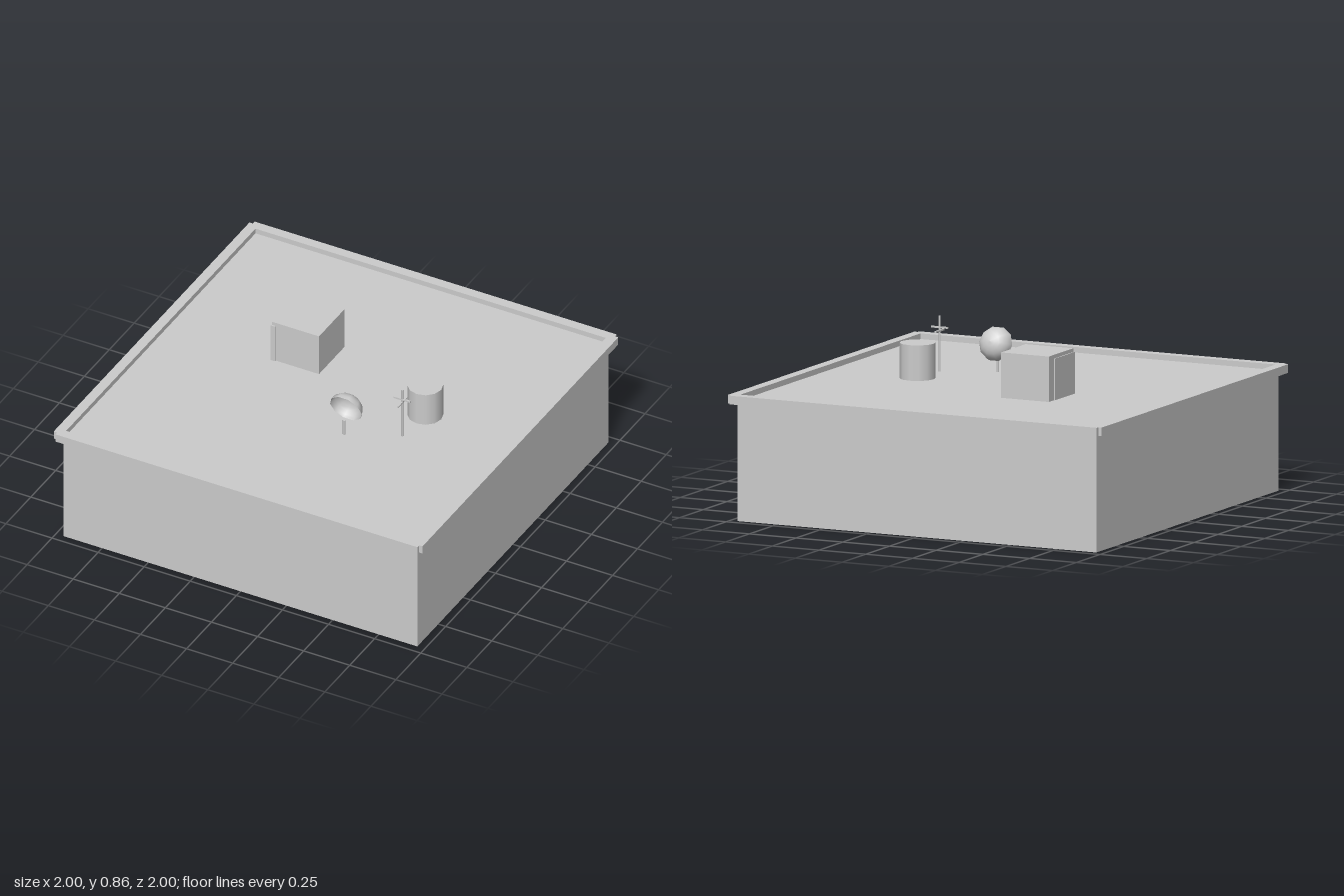
import * as THREE from 'three';

const grey = new THREE.MeshStandardMaterial({ color: 0xcccccc });
const greyDouble = new THREE.MeshStandardMaterial({ color: 0xcccccc, side: THREE.DoubleSide });

export function createModel() {
  const model = new THREE.Group();
  const roofY = 0.585;

  const add = (parent, name, geometry, x, y, z, material = grey) => {
    const mesh = new THREE.Mesh(geometry, material);
    mesh.name = name;
    mesh.position.set(x, y, z);
    parent.add(mesh);
    return mesh;
  };
  // Box given by its extents along each axis
  const addBox = (parent, name, [x0, x1], [y0, y1], [z0, z1]) =>
    add(parent, name, new THREE.BoxGeometry(x1 - x0, y1 - y0, z1 - z0),
      (x0 + x1) / 2, (y0 + y1) / 2, (z0 + z1) / 2);
  const group = (name) => {
    const g = new THREE.Group();
    g.name = name;
    model.add(g);
    return g;
  };

  // Building block with a flat roof
  addBox(model, 'building', [-0.96, 0.96], [0, roofY], [-0.96, 0.96]);

  // Parapet: four rails that cross just short of the outer corners
  const parapet = group('parapet');
  for (const s of [-1, 1]) {
    const across = [0.975 * s - 0.025, 0.975 * s + 0.025];
    addBox(parapet, 'parapetRail', [-0.982, 0.982], [0.57, 0.612], across);
    addBox(parapet, 'parapetRail', across, [0.57, 0.612], [-0.982, 0.982]);
  }

  // Stair house with a slab door on its right side
  const stairHouse = group('stairHouse');
  addBox(stairHouse, 'stairHouseWalls', [-0.385, -0.13], [roofY, 0.805], [-0.328, -0.07]);
  addBox(stairHouse, 'stairHouseDoor', [-0.39, -0.365], [roofY, 0.787], [-0.275, -0.063]);

  // Water tank
  add(model, 'waterTank', new THREE.CylinderGeometry(0.086, 0.086, 0.757 - roofY, 12),
    0.475, (0.757 + roofY) / 2, -0.018);

  // Antenna mast with two crossed bars
  const antenna = group('antenna');
  add(antenna, 'mast', new THREE.CylinderGeometry(0.005, 0.005, 0.855 - roofY, 6),
    0.463, (0.855 + roofY) / 2, 0.192);
  addBox(antenna, 'crossbar', [0.418, 0.508], [0.795, 0.803], [0.188, 0.196]);
  addBox(antenna, 'crossbar', [0.459, 0.467], [0.778, 0.786], [0.147, 0.237]);

  // Satellite dish: a shallow bowl tipped forward and down, on a short post
  const dish = group('satelliteDish');
  const profile = [];
  for (let i = 0; i <= 6; i++) {
    const a = (i / 6) * Math.PI / 2;
    profile.push(new THREE.Vector2(0.0855 * Math.sin(a), -0.07 * Math.cos(a)));
  }
  const bowl = add(dish, 'dishBowl', new THREE.LatheGeometry(profile, 10, Math.PI / 2),
    0.211, 0.7225, 0.292, greyDouble);
  bowl.rotation.x = 1.91;
  add(dish, 'dishPost', new THREE.CylinderGeometry(0.007, 0.007, 0.667 - roofY, 6),
    0.212, (0.667 + roofY) / 2, 0.31);

  return model;
}
